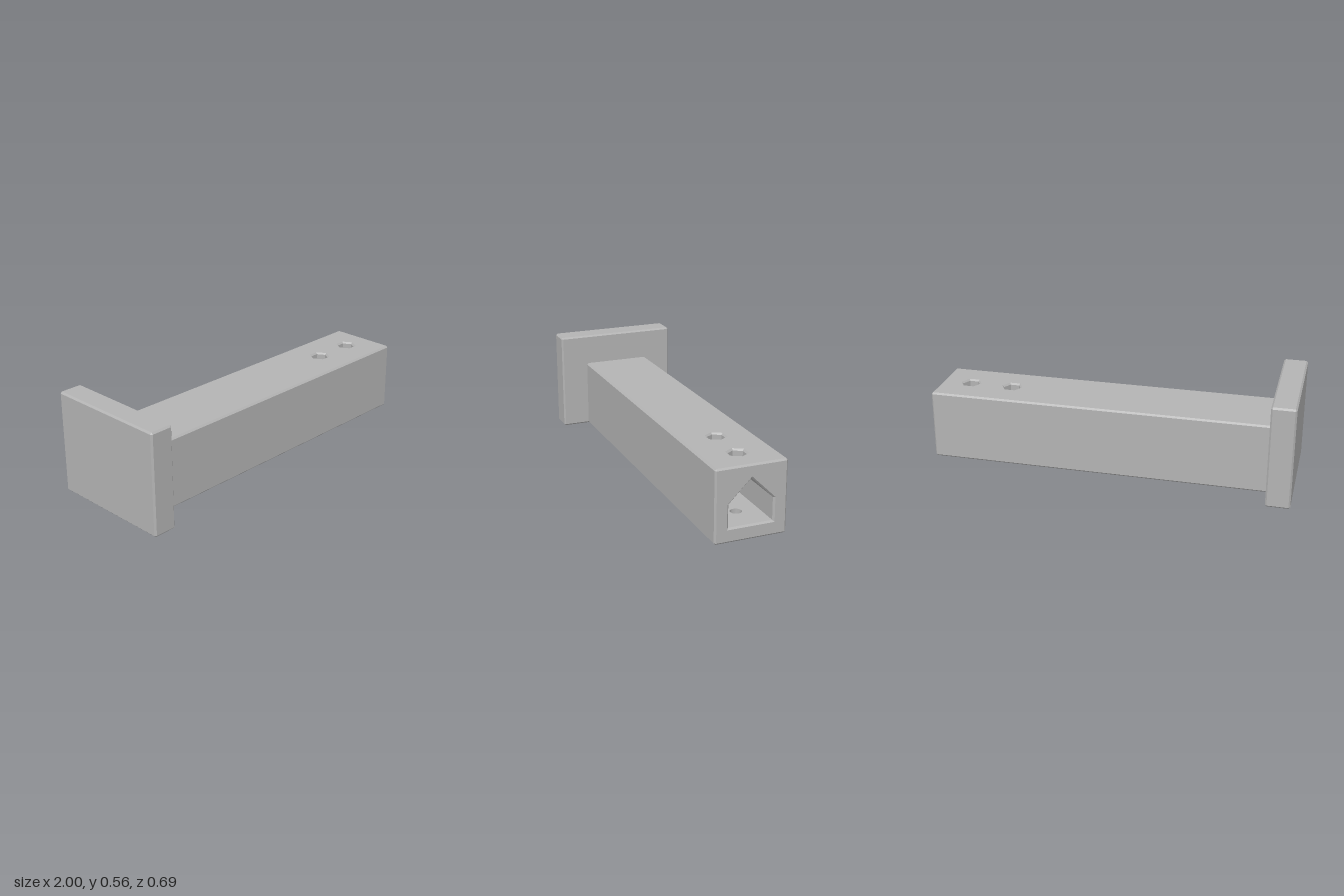
import * as THREE from 'three';
import { toCreasedNormals } from 'three/addons/utils/BufferGeometryUtils.js';

const C = 0.009;                                   // chamfer on every edge
const BAR_W = 0.19, BAR_H = 0.385, BAR_X = -0.9;   // half width, height, start inside the plate
const END = 1, RIM = END - C;
const HOLES = [0.594, 0.835], HOLE_R = 0.03;
const BORE = { x: -0.8, w: 0.117, floor: 0.077, eave: 0.196, ridge: 0.313 };

// Skins successive rings of points; skip(segment, edge) leaves a face open
function loft(rings, skip = () => false) {
  const pos = [];
  const tri = (a, b, c) => {
    const area = b.clone().sub(a).cross(c.clone().sub(a)).length();
    if (area > 1e-9) for (const p of [a, b, c]) pos.push(p.x, p.y, p.z);
  };
  for (let s = 0; s + 1 < rings.length; s++) {
    const a = rings[s], b = rings[s + 1], n = a.length;
    for (let i = 0; i < n; i++) {
      if (skip(s, i)) continue;
      const j = (i + 1) % n;
      tri(a[i], a[j], b[j]);
      tri(a[i], b[j], b[i]);
    }
  }
  const g = new THREE.BufferGeometry();
  g.setAttribute('position', new THREE.Float32BufferAttribute(pos, 3));
  return toCreasedNormals(g, 0.5);
}

// Flat outline with holes, placed in space by a mapping
function panel(outline, holes, map) {
  const shape = new THREE.Shape(outline);
  shape.holes = holes.map((h) => new THREE.Path(h));
  const g = new THREE.ShapeGeometry(shape);
  const p = g.attributes.position;
  for (let i = 0; i < p.count; i++) p.setXYZ(i, ...map(p.getX(i), p.getY(i)));
  return toCreasedNormals(g, 0.1);
}

const v2 = (x, y) => new THREE.Vector2(x, y);
const rect = (x0, x1, y0, y1) => [v2(x0, y0), v2(x1, y0), v2(x1, y1), v2(x0, y1)];

// Placements for faces looking up, down and towards +x
const up = (y) => (u, v) => [u, y, -v];
const down = (y) => (u, v) => [u, y, v];
const right = (x) => (u, v) => [x, v, -u];
const place = (pts, map) => pts.map((p) => new THREE.Vector3(...map(p.x, p.y)));

// Rectangle section with corners cut by k, inset by d
function section(x, w, h, k, d) {
  const a = w - d, b = w - d - k, lo = d, hi = h - d;
  return place([v2(-b, lo), v2(b, lo), v2(a, lo + k), v2(a, hi - k),
    v2(b, hi), v2(-b, hi), v2(-a, hi - k), v2(-a, lo + k)], right(x));
}

// 24 points round a circle or a hexagon
function round(cx, r, hex = false) {
  return Array.from({ length: 24 }, (_, i) => {
    const t = i * Math.PI / 12, f = (i % 4) * Math.PI / 12 - Math.PI / 6;
    const q = hex ? r * Math.cos(Math.PI / 6) / Math.cos(f) : r;
    return v2(cx + q * Math.cos(t), q * Math.sin(t));
  });
}

const house = (w, floor, eave, ridge) =>
  [v2(-w, floor), v2(w, floor), v2(w, eave), v2(0, ridge), v2(-w, eave)];

export function createModel() {
  const model = new THREE.Group();
  const grey = new THREE.MeshStandardMaterial({ color: 0xb3b3b3 });
  grey.name = 'grey';
  const add = (name, geometry) => {
    const mesh = new THREE.Mesh(geometry, grey);
    mesh.name = name;
    model.add(mesh);
  };

  // End plate, chamfered all round
  const PW = 0.345, PH = 0.557, X0 = -1, X1 = -0.87;
  const middle = (x) => Array.from({ length: 8 }, () => new THREE.Vector3(x, PH / 2, 0));
  add('endPlate', loft([
    middle(X0), section(X0, PW, PH, 0, C), section(X0 + C, PW, PH, C, 0),
    section(X1 - C, PW, PH, C, 0), section(X1, PW, PH, 0, C), middle(X1),
  ]));

  // Bar sides and chamfers; the pierced top and bottom are separate panels
  add('barSides', loft(
    [section(BAR_X, BAR_W, BAR_H, C, 0), section(RIM, BAR_W, BAR_H, C, 0), section(END, BAR_W, BAR_H, 0, C)],
    (s, i) => s === 0 && (i === 0 || i === 4),
  ));
  const face = rect(BAR_X, RIM, -BAR_W + C, BAR_W - C);
  add('barTop', panel(face, HOLES.map((x) => round(x, 0.058, true)), up(BAR_H)));
  add('barBottom', panel(face, HOLES.map((x) => round(x, 0.057)), down(0)));

  // Bar end with the house-shaped mouth
  const mouth = house(0.126, 0.068, 0.198, 0.323);
  const inner = house(BORE.w, BORE.floor, BORE.eave, BORE.ridge);
  add('barEnd', panel(rect(-BAR_W + C, BAR_W - C, C, BAR_H - C), [mouth], right(END)));

  // Bore walls, back, floor and gabled roof
  add('boreWalls', loft(
    [place(mouth, right(END)), place(inner, right(RIM)), place(inner, right(BORE.x))],
    (s, i) => s === 1 && [0, 2, 3].includes(i),
  ));
  add('boreBack', panel(inner, [], right(BORE.x)));
  add('boreFloor', panel(rect(BORE.x, RIM, -BORE.w, BORE.w),
    HOLES.map((x) => round(x, HOLE_R)), up(BORE.floor)));
  const roofY = (v) => BORE.ridge - Math.abs(v);
  for (const side of [1, -1]) {
    const outline = [v2(BORE.x, 0)];
    for (const x of HOLES) {
      for (let k = 0; k <= 12; k++) {
        const t = k * Math.PI / 12;
        outline.push(v2(x - HOLE_R * Math.cos(t), side * HOLE_R * Math.sin(t)));
      }
    }
    outline.push(v2(RIM, 0), v2(RIM, side * BORE.w), v2(BORE.x, side * BORE.w));
    add('boreRoof', panel(outline, [], (u, v) => [u, roofY(v), v]));
  }

  // Hexagonal nut pockets above, round screw-head pockets below
  for (const x of HOLES) {
    const hex = round(x, 0.049, true), hole = round(x, HOLE_R), head = round(x, 0.048);
    add('nutPocket', loft([
      place(round(x, 0.058, true), up(BAR_H)), place(hex, up(BAR_H - C)), place(hex, up(0.34)),
      place(hole, up(0.34)), place(hole, (u, v) => [u, roofY(v), -v]),
    ]));
    add('screwPocket', loft([
      place(round(x, 0.057), down(0)), place(head, down(C)), place(head, down(0.045)),
      place(hole, down(0.045)), place(hole, down(BORE.floor)),
    ]));
  }
  return model;
}
